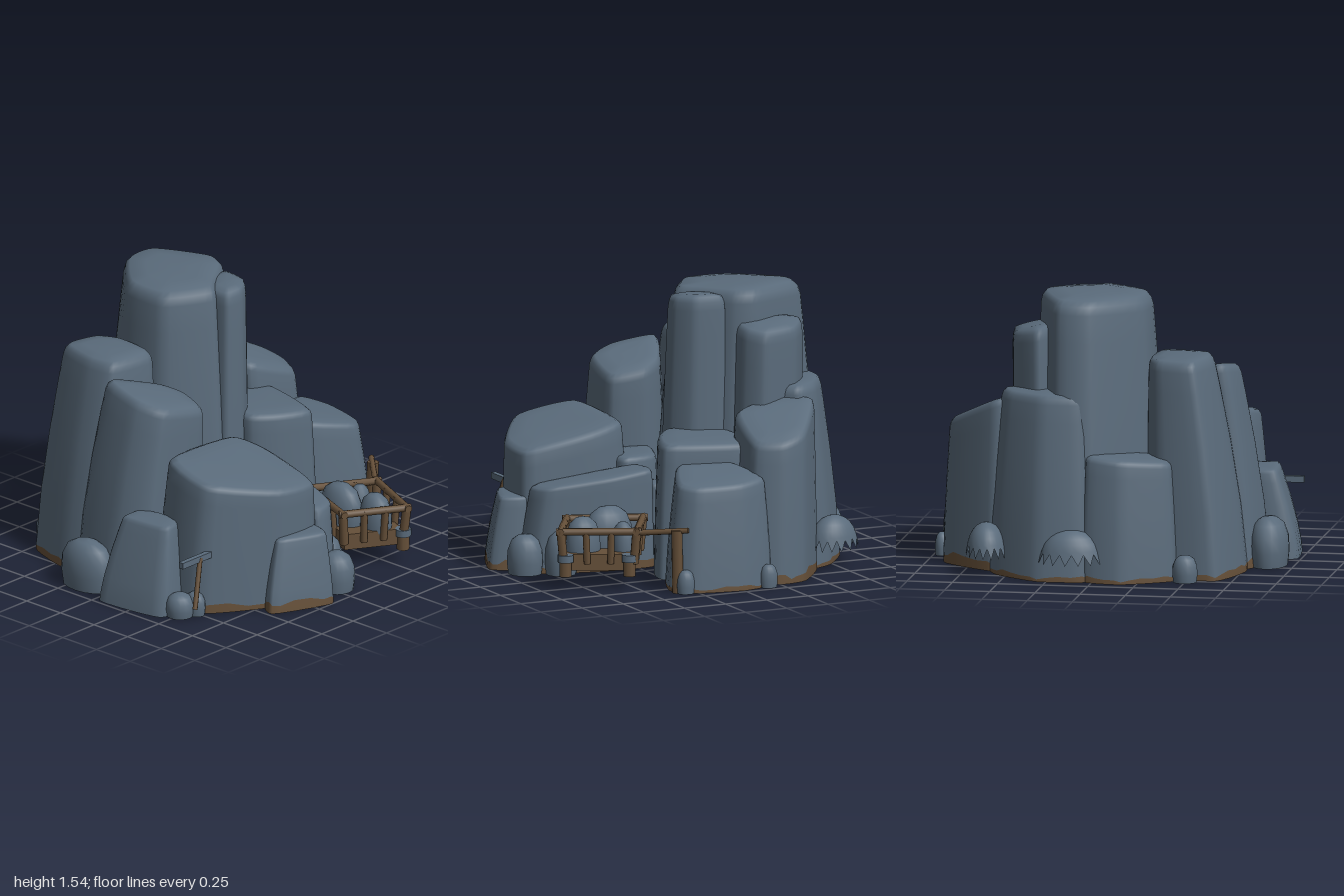
import * as THREE from 'three';

const mat = (name, color, side = THREE.FrontSide) => {
  const m = new THREE.MeshStandardMaterial({ color, side });
  m.name = name;
  return m;
};

export function createModel() {
  const stone = mat('slate stone', 0x5a6b7b, THREE.DoubleSide);
  const brown = mat('earth and wood brown', 0x665039, THREE.DoubleSide);
  const model = new THREE.Group();

  const add = (name, geo, material, parent = model) => {
    const mesh = new THREE.Mesh(geo, material);
    mesh.name = name;
    parent.add(mesh);
    return mesh;
  };

  // Tapered stone column lofted from a ground outline of [x, z] corners, open below.
  // k: top scale in x and z, lean: top shift, slope: tilt of the top, band: height of earth at the foot
  function rock(name, corners, h, { k = [0.85, 0.85], lean = [0, 0], slope = [0, 0], band = 0 } = {}) {
    const n = corners.length * 5;
    const area = corners.reduce((s, p, i) => {
      const q = corners[(i + 1) % corners.length];
      return s + p[0] * q[1] - q[0] * p[1];
    }, 0);
    const ordered = area > 0 ? corners : [...corners].reverse();
    const curve = new THREE.CatmullRomCurve3(
      ordered.map(([x, z]) => new THREE.Vector3(x, 0, z)), true, 'catmullrom', 0.3);
    const ring = Array.from({ length: n }, (_, i) => curve.getPoint(i / n));
    const c = new THREE.Box3().setFromPoints(ring).getCenter(new THREE.Vector3());
    // height fraction and extra rounding of each cross-section
    const levels = [[0, 1], [(band || 0.05) / h, 1], [0.3, 1], [0.6, 1], [0.85, 1], [0.95, 1], [0.98, 0.97], [1, 0.89], [1.008, 0.55]];
    const pos = [], idx = [];
    const put = (dx, dz, t, s) => {
      const e = Math.pow(Math.min(t, 1), 1.4);
      const x = dx * s * (1 + (k[0] - 1) * e), z = dz * s * (1 + (k[1] - 1) * e);
      pos.push(c.x + x + lean[0] * e, t * (h + slope[0] * x + slope[1] * z), c.z + z + lean[1] * e);
    };
    levels.forEach(([t, s], j) => ring.forEach((p, i) => {
      const wave = j === 1 ? 1 + 0.3 * Math.sin(i * 0.9) + 0.2 * Math.sin(i * 2.3) : 1;
      put(p.x - c.x, p.z - c.z, t * wave, s);
    }));
    put(0, 0, 1.008, 1);
    const top = levels.length * n;
    for (let j = 0; j < levels.length - 1; j++) {
      for (let i = 0; i < n; i++) {
        const a = j * n + i, b = j * n + (i + 1) % n;
        idx.push(a, a + n, b, b, a + n, b + n);
      }
    }
    for (let i = 0; i < n; i++) idx.push(top, top - n + (i + 1) % n, top - n + i);
    const g = new THREE.BufferGeometry();
    g.setAttribute('position', new THREE.Float32BufferAttribute(pos, 3));
    g.setIndex(idx);
    g.computeVertexNormals();
    g.addGroup(0, n * 6, 0);
    g.addGroup(n * 6, idx.length - n * 6, 1);
    return add(name, g, [band ? brown : stone, stone]);
  }

  // Tall central columns
  rock('mainColumn', [[-0.3, -0.14], [-0.29, -0.5], [0.0, -0.84], [0.22, -0.82], [0.38, -0.38], [0.33, -0.2], [0.1, -0.02], [-0.03, 0.07]],
    1.52, { k: [0.86, 0.73], lean: [0.035, 0.01], slope: [0.03, 0] });
  rock('frontColumn', [[0.02, -0.1], [0.18, -0.24], [0.31, -0.22], [0.28, -0.02], [0.15, 0.07], [0.02, 0.05]],
    1.49, { k: [0.82, 0.82], lean: [0.02, -0.01], slope: [0.05, 0] });
  rock('leftColumn', [[0.25, -0.55], [0.33, -0.67], [0.48, -0.55], [0.52, -0.33], [0.42, -0.24], [0.27, -0.25]],
    1.34, { k: [0.93, 0.9], lean: [0.01, -0.01], slope: [-0.2, 0] });

  // Middle ring
  rock('backRightRock', [[-0.77, -0.42], [-0.66, -0.73], [-0.35, -0.68], [-0.24, -0.5], [-0.3, -0.15], [-0.72, -0.2]],
    1.19, { k: [0.63, 0.75], lean: [0.09, 0.01], band: 0.035 });
  rock('rightRock', [[-0.84, -0.02], [-0.76, -0.33], [-0.36, -0.18], [-0.26, -0.02], [-0.34, 0.2], [-0.74, 0.17]],
    1.05, { k: [0.71, 0.82], lean: [0.09, 0.04], slope: [-0.2, -0.2], band: 0.055 });
  rock('backRock', [[-0.43, -0.78], [-0.17, -0.93], [0.05, -0.88], [0.06, -0.6], [-0.25, -0.5], [-0.42, -0.6]],
    0.67, { k: [0.9, 0.86], lean: [0.01, 0.03], slope: [0.1, 0], band: 0.025 });
  rock('backLeftRock', [[0.02, -0.88], [0.3, -0.91], [0.55, -0.73], [0.62, -0.55], [0.45, -0.4], [0.15, -0.5]],
    1.01, { k: [0.8, 0.72], lean: [-0.01, 0.05], band: 0.025 });
  rock('leftRock', [[0.46, -0.38], [0.58, -0.63], [0.88, -0.42], [0.92, -0.25], [0.82, -0.1], [0.48, -0.14]],
    0.87, { k: [0.9, 0.87], lean: [-0.02, -0.02], slope: [-0.36, -0.22], band: 0.05 });
  rock('innerLeftRock', [[0.16, 0.1], [0.22, -0.2], [0.52, -0.28], [0.64, -0.15], [0.52, 0.27], [0.3, 0.22]],
    0.75, { k: [0.95, 0.93], lean: [-0.01, -0.01], slope: [-0.06, 0] });
  rock('outerLeftRock', [[0.48, 0.22], [0.58, -0.12], [0.9, -0.2], [0.98, 0.0], [0.93, 0.28], [0.8, 0.37]],
    0.61, { k: [0.8, 0.84], lean: [-0.01, -0.02], slope: [-0.18, -0.06], band: 0.025 });

  // Front and low rocks
  rock('bigFrontRock', [[-0.75, 0.56], [-0.68, 0.19], [-0.1, 0.17], [-0.01, 0.4], [-0.07, 0.81], [-0.38, 0.81]],
    0.73, { k: [0.88, 0.92], slope: [-0.06, -0.2], lean: [0.02, 0.02], band: 0.045 });
  rock('innerRock', [[-0.3, -0.05], [0.0, 0.04], [0.02, 0.28], [-0.3, 0.3]], 0.58);
  rock('crevicePebble', [[0.0, 0.05], [0.14, 0.05], [0.14, 0.15], [0.02, 0.16]], 0.45);
  rock('frontWedgeRock', [[-0.1, 0.83], [-0.04, 0.2], [0.05, 0.13], [0.18, 0.17], [0.18, 0.45], [0.08, 0.81]],
    0.51, { k: [0.88, 0.9], slope: [0, -0.12], lean: [0.02, -0.02], band: 0.035 });
  rock('frontSlab', [[-0.48, 0.86], [-0.38, 0.72], [-0.09, 0.76], [-0.07, 0.88], [-0.15, 1.0]],
    0.4, { k: [0.74, 0.77], lean: [0.04, -0.03], band: 0.045 });
  rock('rightLowRock', [[-0.98, 0.04], [-0.76, 0.03], [-0.67, 0.2], [-0.7, 0.42], [-0.93, 0.45]],
    0.48, { k: [0.55, 0.68], lean: [0.06, 0] });

  // Rounded boulders: x, z, radius x, radius z, height
  const dome = [[0.92, 0], [1, 0.3], [0.96, 0.6], [0.75, 0.85], [0.4, 0.97], [0, 1]].map(p => new THREE.Vector2(...p));
  const boulder = (name, x, z, rx, rz, h) => {
    const m = add(name, new THREE.LatheGeometry(dome, 16), stone);
    m.scale.set(rx, h, rz);
    m.position.set(x, 0, z);
    return m;
  };
  [[0.03, 0.87, 0.1, 0.1, 0.22], [0.13, 0.7, 0.085, 0.09, 0.24], [-0.83, 0.5, 0.08, 0.08, 0.13],
    [-0.76, 0.55, 0.05, 0.06, 0.13], [-0.5, -0.78, 0.07, 0.07, 0.15], [0.95, -0.16, 0.04, 0.05, 0.13],
    [0.9, 0.32, 0.045, 0.05, 0.13], [-0.86, -0.16, 0.11, 0.17, 0.27]]
    .forEach(b => boulder('boulder', ...b));

  // Domes with a ragged lower edge
  for (const [x, z, rx, rz, yaw] of [[0.11, -0.87, 0.17, 0.115, 0.15], [0.61, -0.72, 0.105, 0.14, 0.2]]) {
    const g = new THREE.SphereGeometry(1, 32, 6, 0, Math.PI * 2, 0, Math.PI / 2);
    const p = g.attributes.position;
    for (let i = 0; i < p.count; i++) {
      if (p.getY(i) > 0.01) continue;
      const tooth = (i % 33) % 2;
      p.setXYZ(i, p.getX(i) * (1 + 0.1 * tooth), tooth ? -0.25 : 0.15, p.getZ(i) * (1 + 0.1 * tooth));
    }
    g.computeVertexNormals();
    const m = add('raggedBoulder', g, stone);
    m.scale.set(rx, 0.15, rz);
    m.rotation.y = yaw;
    m.position.set(x, 0.14, z);
  }

  // Round beam between two points
  const V = (x, y, z) => new THREE.Vector3(x, y, z);
  const beam = (name, a, b, r, material, parent = model) => {
    const d = b.clone().sub(a);
    const m = add(name, new THREE.CylinderGeometry(r, r, d.length(), 8), material, parent);
    m.position.copy(a).addScaledVector(d, 0.5);
    m.quaternion.setFromUnitVectors(V(0, 1, 0), d.normalize());
    return m;
  };

  // Open wooden cart
  const cart = new THREE.Group();
  cart.name = 'cart';
  model.add(cart);
  const corners = [[0.39, 0.33], [0.72, 0.53], [0.55, 0.91], [0.24, 0.72]];
  const inset = ([x, z], s) => [0.475 + (x - 0.475) * s, 0.62 + (z - 0.62) * s];
  const tub = new THREE.Shape(corners.map(c => inset(c, 0.9)).map(([x, z]) => new THREE.Vector2(x, -z)));
  const tubMesh = add('cartBed', new THREE.ExtrudeGeometry(tub, { depth: 0.09, bevelEnabled: false }), brown, cart);
  tubMesh.rotation.x = -Math.PI / 2;
  tubMesh.position.y = 0.11;
  corners.forEach((c, i) => {
    const d = corners[(i + 1) % 4];
    const ext = 0.06;
    const [ax, az] = [c[0] - (d[0] - c[0]) * ext, c[1] - (d[1] - c[1]) * ext];
    const [bx, bz] = [d[0] + (d[0] - c[0]) * ext, d[1] + (d[1] - c[1]) * ext];
    beam('cartTopRail', V(ax, 0.33, az), V(bx, 0.33, bz), 0.021, brown, cart);
    for (let j = 0; j < 3; j++) {
      const t = j / 3;
      const p = [c[0] + (d[0] - c[0]) * t, c[1] + (d[1] - c[1]) * t];
      const q = inset(p, 0.92);
      beam('cartPost', V(q[0], 0.15, q[1]), V(p[0], 0.34, p[1]), j ? 0.02 : 0.025, brown, cart);
    }
  });
  // Feet with stone caps under the outer side
  for (const [x, z] of [[0.69, 0.56], [0.55, 0.88]]) {
    beam('cartFoot', V(x, 0.08, z), V(x, 0.18, z), 0.035, brown, cart);
    beam('cartCap', V(x, 0.16, z), V(x, 0.2, z), 0.045, stone, cart);
  }
  // Stones carried in the cart
  for (const s of [[0.41, 0.55, 0.09, 0.14, 0.28], [0.57, 0.54, 0.065, 0.06, 0.22], [0.48, 0.74, 0.08, 0.1, 0.25]]) {
    boulder('cartStone', ...s).position.y = 0.14;
  }

  // Hitching bar and post beside the cart
  beam('hitchBar', V(0.71, 0.32, 0.53), V(0.91, 0.35, 0.31), 0.016, brown);
  beam('hitchPost', V(0.86, 0, 0.35), V(0.87, 0.35, 0.36), 0.032, brown);

  // Pickaxe leaning on the right side
  const head = add('pickHead', new THREE.BoxGeometry(0.23, 0.035, 0.03), stone);
  head.position.set(-0.81, 0.345, 0.595);
  beam('pickHandle', V(-0.775, 0.35, 0.6), V(-0.86, 0.08, 0.64), 0.014, brown);

  return model;
}
